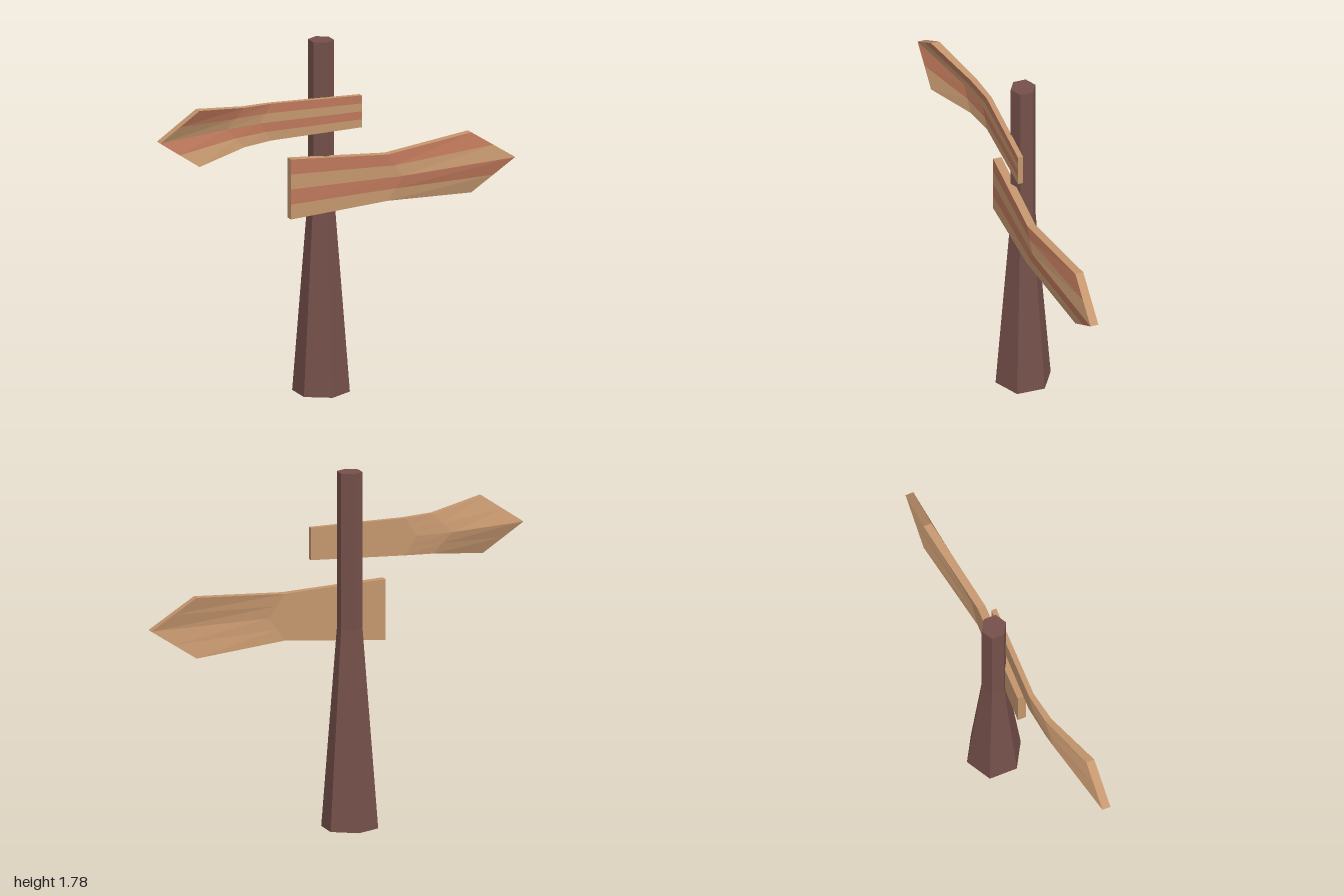
import * as THREE from 'three';

const paint = (color) => new THREE.MeshStandardMaterial({ color, flatShading: true });
const postMaterial = paint(0x75504a);
const tanMaterial = paint(0xc4966e);
const redMaterial = paint(0xbc775a);

const BANDS = 4;

// Arrow board from chevron-shaped sections listed by increasing x:
// [edge x, middle x, bottom y, top y, back z, front z]
function makeBoard(name, sections) {
  const tan = [], red = [];
  const point = (i, j, front) => {
    const [edgeX, midX, y0, y1, back, face] = sections[i];
    const f = j / BANDS;
    const x = THREE.MathUtils.lerp(midX, edgeX, Math.abs(2 * f - 1));
    return [x, THREE.MathUtils.lerp(y0, y1, f), front ? face : back];
  };
  const quad = (list, a, b, c, d) => list.push(...a, ...b, ...c, ...a, ...c, ...d);
  const last = sections.length - 1;

  for (let i = 0; i < last; i++) {
    // striped face and plain back
    for (let j = 0; j < BANDS; j++) {
      quad(j % 2 ? red : tan, point(i, j, true), point(i + 1, j, true),
        point(i + 1, j + 1, true), point(i, j + 1, true));
      quad(tan, point(i, j + 1, false), point(i + 1, j + 1, false),
        point(i + 1, j, false), point(i, j, false));
    }
    // lower and upper rims
    quad(tan, point(i, 0, true), point(i, 0, false), point(i + 1, 0, false), point(i + 1, 0, true));
    quad(tan, point(i, BANDS, true), point(i + 1, BANDS, true),
      point(i + 1, BANDS, false), point(i, BANDS, false));
  }
  // end rims: the square end and the pointed tip
  for (let j = 0; j < BANDS; j++) {
    quad(tan, point(0, j, false), point(0, j, true), point(0, j + 1, true), point(0, j + 1, false));
    quad(tan, point(last, j, true), point(last, j, false),
      point(last, j + 1, false), point(last, j + 1, true));
  }

  const board = new THREE.Group();
  board.name = name;
  for (const [part, list, material] of [['Wood', tan, tanMaterial], ['Stripes', red, redMaterial]]) {
    const geometry = new THREE.BufferGeometry();
    geometry.setAttribute('position', new THREE.Float32BufferAttribute(list, 3));
    geometry.computeVertexNormals();
    const mesh = new THREE.Mesh(geometry, material);
    mesh.name = name + part;
    board.add(mesh);
  }
  return board;
}

export function createModel() {
  const model = new THREE.Group();
  model.name = 'signpost';

  // six-sided post, tapered below and straight above
  const profile = [[0, 0], [0.142, 0], [0.064, 1], [0.064, 1.785], [0, 1.785]]
    .map(([r, y]) => new THREE.Vector2(r, y));
  const post = new THREE.Mesh(new THREE.LatheGeometry(profile, 6), postMaterial);
  post.name = 'post';
  post.position.set(-0.04, 0, -0.04);
  model.add(post);

  // lower board points left and bends back
  model.add(makeBoard('lowerBoard', [
    [-0.24, -0.24, 0.915, 1.22, 0.005, 0.048],
    [0.28, 0.36, 0.95, 1.185, 0.005, 0.045],
    [0.765, 1, 0.915, 1.22, -0.083, -0.042],
  ]));

  // upper board points right and bends forward twice
  model.add(makeBoard('upperBoard', [
    [-0.79, -1, 1.28, 1.565, 0.143, 0.185],
    [-0.5, -0.6, 1.32, 1.52, 0.045, 0.077],
    [-0.345, -0.405, 1.328, 1.515, 0.02, 0.046],
    [0.14, 0.14, 1.34, 1.502, 0.02, 0.046],
  ]));

  return model;
}
